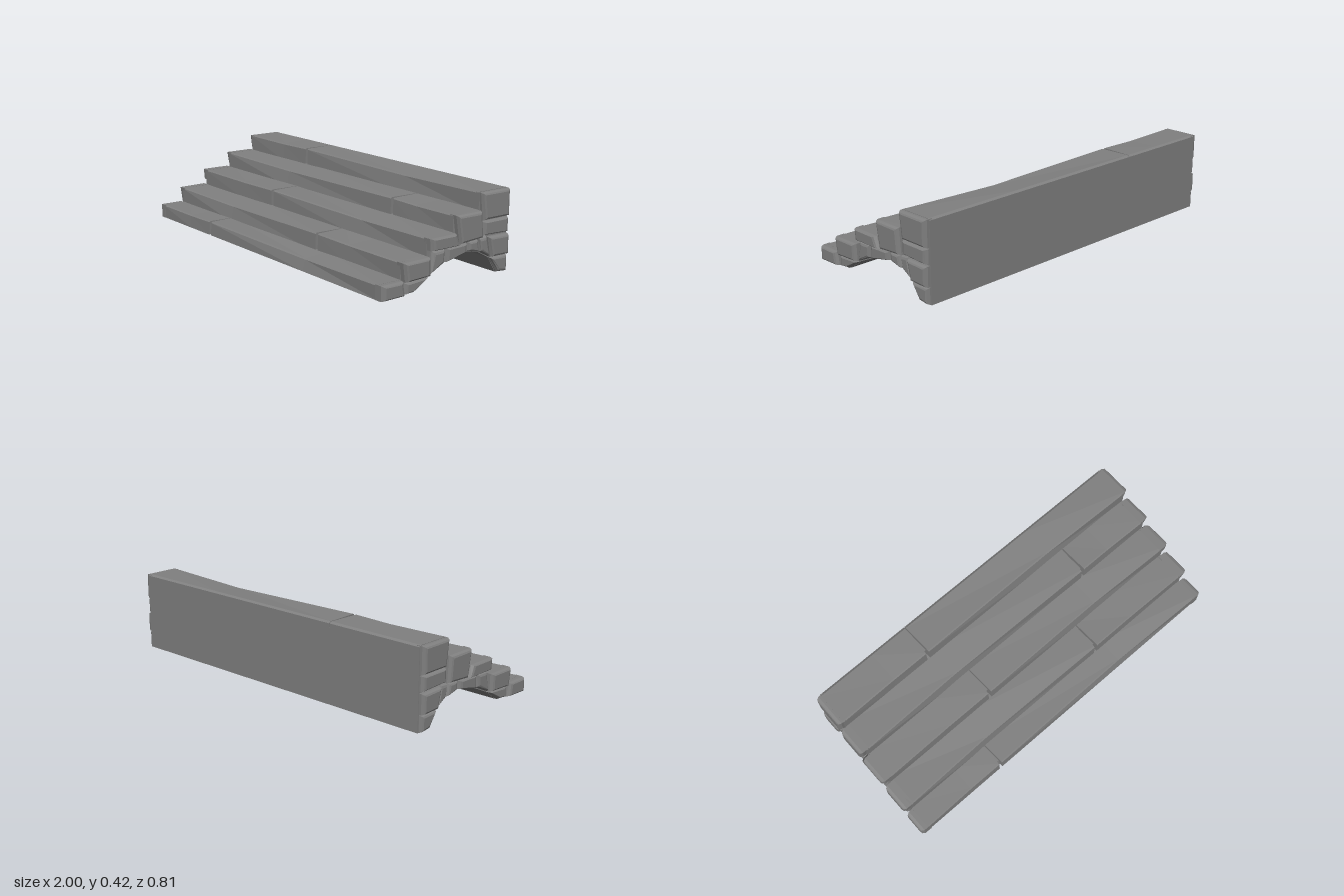
import * as THREE from 'three';

const stone = new THREE.MeshStandardMaterial({ color: 0x808080 });
stone.name = 'grey stone';

// Flat-faced solid through rings of [x, y, z], ordered by rising x;
// each ring runs counter-clockwise when seen from +x.
function loft(rings) {
  const pos = [];
  const tri = (a, b, c) => pos.push(...a, ...b, ...c);
  const n = rings[0].length;
  for (let i = 0; i < rings.length - 1; i++) {
    for (let j = 0; j < n; j++) {
      const k = (j + 1) % n;
      const a = rings[i][j], b = rings[i][k], c = rings[i + 1][k], d = rings[i + 1][j];
      tri(a, b, c);
      tri(a, c, d);
    }
  }
  const first = rings[0], last = rings[rings.length - 1];
  for (let j = 1; j < n - 1; j++) {
    tri(first[0], first[j + 1], first[j]);
    tri(last[0], last[j], last[j + 1]);
  }
  const g = new THREE.BufferGeometry();
  g.setAttribute('position', new THREE.Float32BufferAttribute(pos, 3));
  g.computeVertexNormals();
  return g;
}

function add(parent, name, geometry) {
  const mesh = new THREE.Mesh(geometry, stone);
  mesh.name = name;
  parent.add(mesh);
}

// Steps from the bottom up: front z, tread height, joint x
const steps = [
  { front: 0.40, top: 0.08, joint: -0.46 },
  { front: 0.272, top: 0.163, joint: 0.33 },
  { front: 0.113, top: 0.249, joint: -0.28 },
  { front: -0.05, top: 0.333, joint: 0.52 },
  { front: -0.213, top: 0.42, joint: -0.41 },
];
const BACK = -0.405, HALF = 0.958, INSET = 0.03;

// Arched underside, from the front foot to the back foot, as [z, y]
const arch = [[0.38, 0.006], [0.2, 0.008], [0.11, 0.07], [0.01, 0.115], [-0.13, 0.145],
  [-0.22, 0.125], [-0.285, 0.09], [-0.335, 0.008], [BACK, 0.002]];

// Core: stepped profile set back behind the treads
function coreGeometry() {
  const pts = [...arch];
  for (let i = steps.length - 1; i >= 0; i--) {
    const { front, top } = steps[i];
    const back = i < 4 ? steps[i + 1].front - INSET : BACK;
    pts.push([back, top - INSET], [front - INSET, top - INSET]);
  }
  const shape = new THREE.Shape(pts.map(([z, y]) => new THREE.Vector2(-z, y)));
  const g = new THREE.ExtrudeGeometry(shape, { depth: 2 * HALF, bevelEnabled: false });
  g.translate(0, 0, -HALF);
  g.rotateY(Math.PI / 2);
  return g;
}

// One tread block; its middle sags and its riser leans back a little
function treadBlock(i, x0, x1, gap0, gap1) {
  const { front, top } = steps[i];
  const last = i === steps.length - 1;
  const back = last ? BACK : steps[i + 1].front - 0.04;
  const bottom = i ? steps[i - 1].top - 0.018 : 0.005;
  const long = x1 - x0 > 1;
  const ring = (x, gap, lean, drop) => [
    [x + gap, bottom, front - 0.002],
    [x, top - INSET, back],
    [x, top - (last ? 0.008 : 0), back],
    [x, top, back + 0.012],
    [x + gap, top - drop, front - 0.006 - lean],
    [x + gap, top - 0.006 - drop, front - lean],
  ];
  const mid = x0 + (x1 - x0) * (i % 2 ? 0.4 : 0.6);
  return loft([
    ring(x0, gap0, gap0 ? 0.005 : 0, 0),
    ring(mid, 0, long ? 0.016 : 0.006, long ? 0.012 : 0.004),
    ring(x1, gap1, gap1 ? 0.005 : 0, 0),
  ]);
}

// Facing stones on each end: outline as [z, y], and outermost x
const facing = [
  ['firstStepStone', 0.998, [[0.402, 0.005], [0.402, 0.08], [0.272, 0.08], [0.262, 0.008]]],
  ['frontFootStone', 0.985, [[0.262, 0.008], [0.2, 0.008], [0.11, 0.07], [0.26, 0.066]]],
  ['secondStepStone', 1.0, [[0.262, 0.068], [0.275, 0.163], [0.113, 0.165], [0.11, 0.074]]],
  ['frontArchStone', 0.985, [[0.11, 0.074], [0.013, 0.118], [0.013, 0.186], [0.09, 0.186]]],
  ['thirdStepStone', 1.0, [[0.11, 0.19], [0.115, 0.25], [-0.05, 0.25], [-0.072, 0.19]]],
  ['fourthStepStone', 0.996, [[-0.05, 0.334], [-0.213, 0.334], [-0.224, 0.2], [-0.074, 0.19]]],
  ['keyArchStone', 0.985, [[0.011, 0.186], [-0.13, 0.19], [-0.13, 0.146], [0.011, 0.117]]],
  ['smallArchStone', 0.98, [[-0.133, 0.195], [-0.205, 0.195], [-0.215, 0.128], [-0.133, 0.146]]],
  ['wedgeArchStone', 0.978, [[-0.208, 0.2], [-0.262, 0.205], [-0.284, 0.094], [-0.218, 0.127]]],
  ['topStepStone', 0.988, [[-0.213, 0.419], [-0.402, 0.419], [-0.402, 0.281], [-0.23, 0.281]]],
  ['upperBackStone', 0.984, [[-0.225, 0.277], [-0.402, 0.277], [-0.402, 0.202], [-0.225, 0.208]]],
  ['lowerBackStone', 0.99, [[-0.265, 0.197], [-0.402, 0.195], [-0.402, 0.09], [-0.286, 0.092]]],
  ['backFootStone', 0.98, [[-0.286, 0.09], [-0.402, 0.09], [-0.402, 0.003], [-0.337, 0.007]]],
];

// Stone with a straight rim and a bevelled face, on side s (+1 or -1)
function facingStone(outline, out, s) {
  let pts = outline.map(([z, y]) => new THREE.Vector2(-z, y));
  if (THREE.ShapeUtils.area(pts) < 0) pts.reverse();
  const c = pts.reduce((a, p) => a.add(p), new THREE.Vector2()).divideScalar(pts.length);
  const ring = (x, inset) => pts.map((p) => {
    const d = c.clone().sub(p);
    d.setLength(Math.min(inset, d.length() * 0.5));
    return [s * x, p.y + d.y, -(p.x + d.x)];
  });
  const rings = [ring(0.94, 0.001), ring(out - 0.018, 0.002), ring(out - 0.004, 0.011), ring(out, 0.023)];
  return loft(s > 0 ? rings : rings.reverse());
}

export function createModel() {
  const model = new THREE.Group();
  model.name = 'stoneStairs';
  add(model, 'core', coreGeometry());

  // Two tread blocks per step, with a wedge-shaped joint open at the front
  const treads = new THREE.Group();
  treads.name = 'treads';
  steps.forEach(({ joint }, i) => {
    add(treads, 'treadRight', treadBlock(i, -HALF, joint - 0.002, 0, -0.007));
    add(treads, 'treadLeft', treadBlock(i, joint + 0.002, HALF, 0.007, 0));
  });
  model.add(treads);

  for (const s of [1, -1]) {
    const side = new THREE.Group();
    side.name = s > 0 ? 'leftFacing' : 'rightFacing';
    for (const [name, out, outline] of facing) add(side, name, facingStone(outline, out, s));
    model.add(side);
  }
  return model;
}
